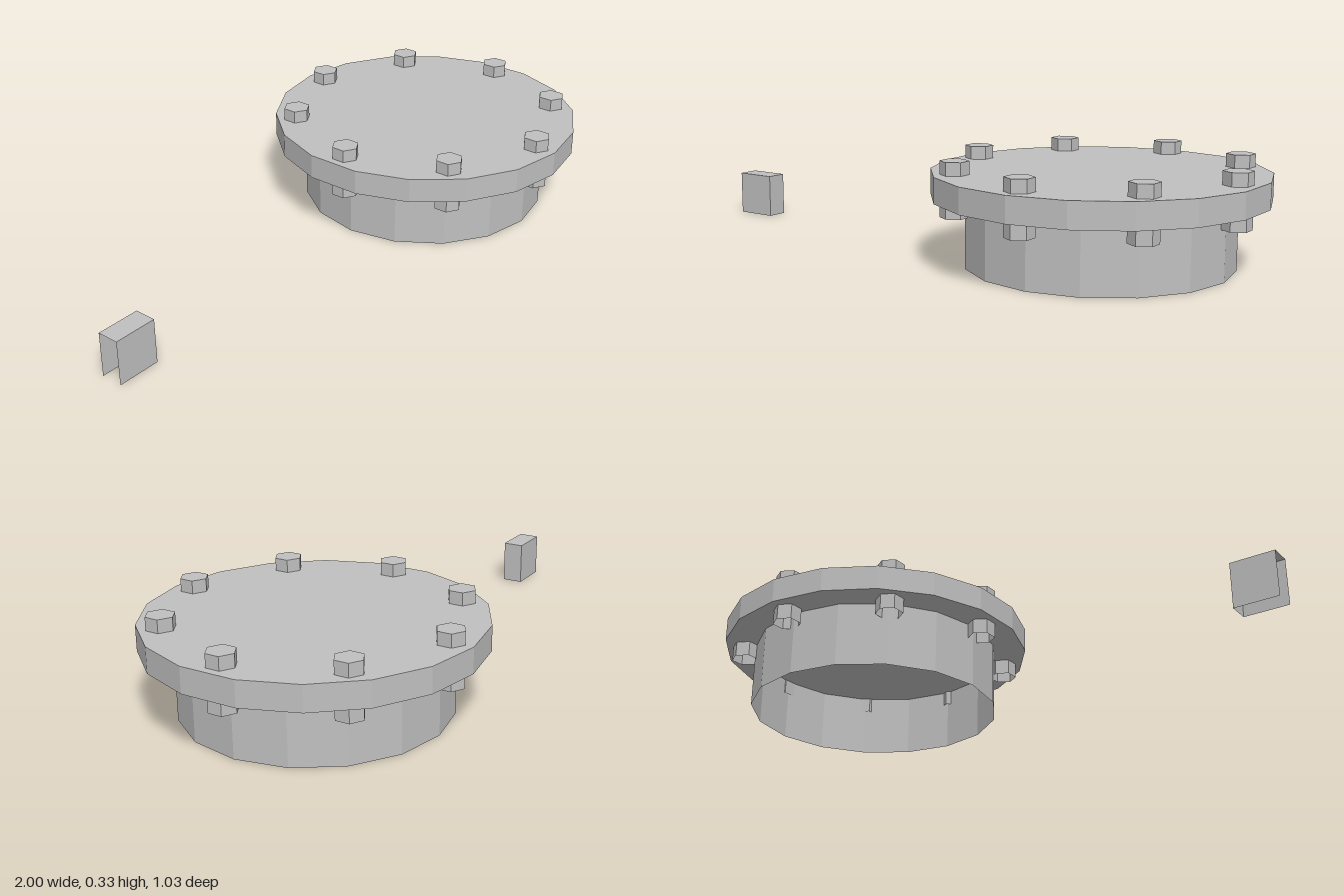
import * as THREE from 'three';

export function createModel() {
  const model = new THREE.Group();
  const grey = new THREE.MeshStandardMaterial({ color: 0xc0c0c0, flatShading: true, side: THREE.DoubleSide });
  grey.name = 'grey metal';
  const centreX = 0.491;

  const add = (parent, name, geometry, x, y, z) => {
    const mesh = new THREE.Mesh(geometry, grey);
    mesh.name = name;
    mesh.position.set(x, y, z);
    parent.add(mesh);
    return mesh;
  };

  // Flanged cover: thin-walled pipe, open below, under a faceted disc
  const cover = new THREE.Group();
  cover.name = 'flangedCover';
  cover.position.x = centreX;
  model.add(cover);
  add(cover, 'pipe', new THREE.CylinderGeometry(0.414, 0.414, 0.21, 16, 1, true), 0, 0.105, 0);
  add(cover, 'flange', new THREE.CylinderGeometry(0.517, 0.517, 0.08, 18), 0, 0.25, 0);

  // Hexagonal bolts passing through the flange, open at the lower end
  const boltShell = new THREE.CylinderGeometry(0.045, 0.045, 0.171, 6, 1, true);
  const boltTop = new THREE.CircleGeometry(0.045, 6, Math.PI / 6).rotateX(-Math.PI / 2);
  for (let i = 0; i < 8; i++) {
    const a = (i * Math.PI) / 4;
    const bolt = new THREE.Group();
    bolt.name = 'bolt';
    bolt.position.set(0.446 * Math.cos(a), 0, 0.446 * Math.sin(a));
    add(bolt, 'boltSides', boltShell, 0, 0.2455, 0);
    add(bolt, 'boltTop', boltTop, 0, 0.331, 0);
    cover.add(bolt);
  }

  // Small separate block, open underneath and on its outer (-x) end
  const w = 0.142, h = 0.145, d = 0.07;
  const block = new THREE.Group();
  block.name = 'block';
  block.position.set(-1 + w / 2, h / 2, 0);
  model.add(block);
  const side = new THREE.PlaneGeometry(w, h);
  add(block, 'blockFront', side, 0, 0, d / 2);
  add(block, 'blockBack', side, 0, 0, -d / 2).rotation.y = Math.PI;
  add(block, 'blockTop', new THREE.PlaneGeometry(w, d), 0, h / 2, 0).rotation.x = -Math.PI / 2;
  add(block, 'blockEnd', new THREE.PlaneGeometry(d, h), w / 2, 0, 0).rotation.y = Math.PI / 2;

  return model;
}
